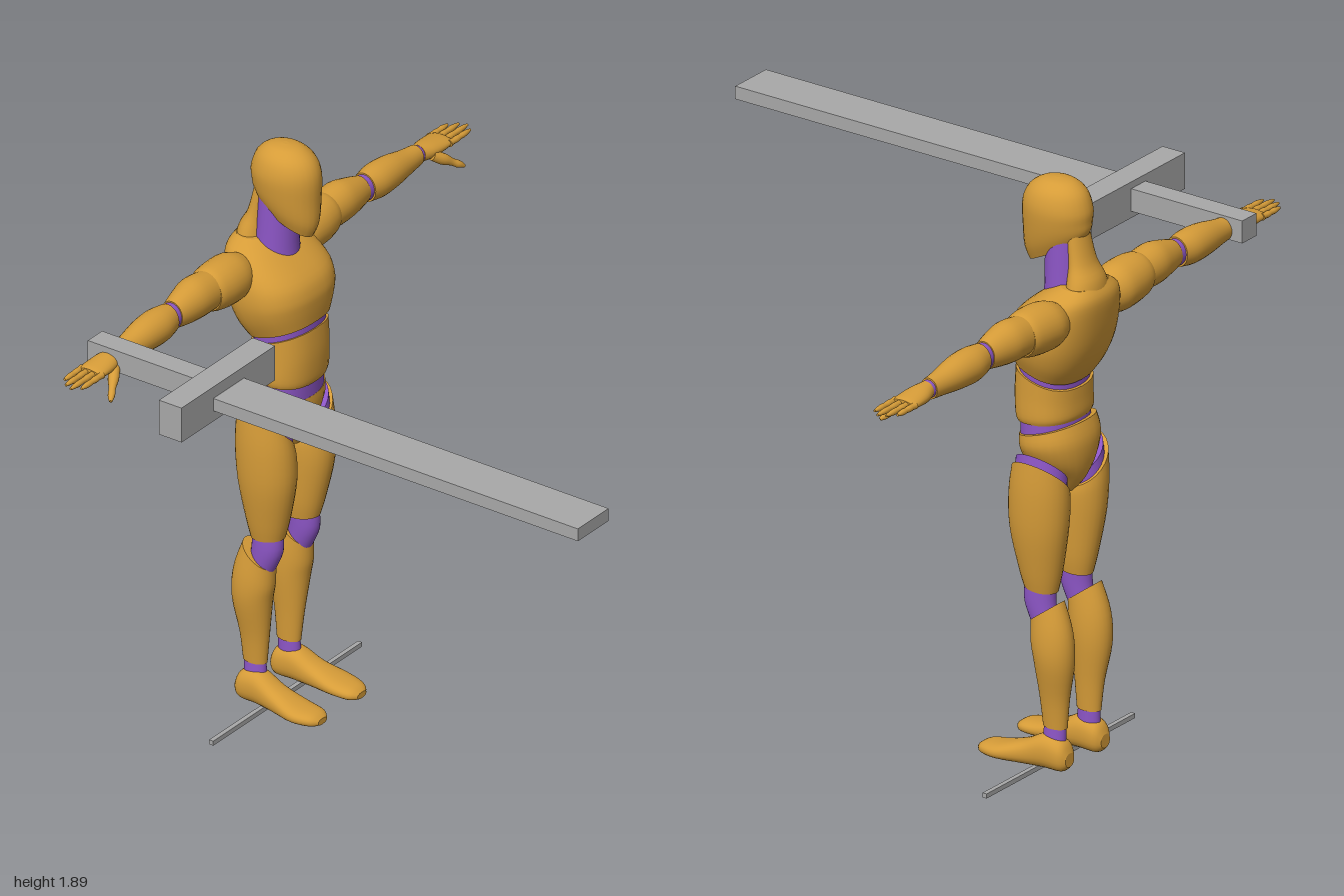
import * as THREE from 'three';

const gold = new THREE.MeshStandardMaterial({ color: 0xd69c38 });
const purple = new THREE.MeshStandardMaterial({ color: 0x8b55c4 });
const grey = new THREE.MeshStandardMaterial({ color: 0xa8a8a8 });
gold.name = 'ochre shell';
purple.name = 'purple joint';
grey.name = 'grey metal';

// Smooth value between ring k1 and k2 (Catmull-Rom)
function smooth(a, b, c, d, t) {
  return b + 0.5 * t * (c - a + t * (2 * a - 5 * b + 4 * c - d + t * (3 * (b - c) + d - a)));
}

// Each axis maps (along, p, q) to x, y, z
const AXES = {
  y: (u, p, q) => [p, u, q],
  x: (u, p, q) => [u, q, p],
  z: (u, p, q) => [q, p, u],
};

// Skin over rings [along, centreP, centreQ, radiusP, radiusQ, slopeQ, slopeP]; side -1 mirrors in x
function loft(rings, { axis = 'y', side = 1, power = 2, seg = 28, sub = 4 } = {}) {
  const rows = [];
  const get = (k, n) => rings[Math.min(Math.max(k, 0), rings.length - 1)][n] ?? 0;
  for (let k = 0; k < rings.length - 1; k++)
    for (let s = 0; s < sub; s++)
      rows.push([0, 1, 2, 3, 4, 5, 6].map((n) => smooth(get(k - 1, n), get(k, n), get(k + 1, n), get(k + 2, n), s / sub)));
  rows.push([0, 1, 2, 3, 4, 5, 6].map((n) => get(rings.length - 1, n)));

  const pos = [], idx = [];
  const put = (u, p, q) => {
    const v = AXES[axis](u, p, q);
    pos.push(v[0] * side, v[1], v[2]);
    return pos.length / 3 - 1;
  };
  const ring = ([u, cp, cq, rp, rq, sq, sp]) => {
    const start = pos.length / 3;
    for (let j = 0; j < seg; j++) {
      const a = (j / seg) * Math.PI * 2, c = Math.cos(a), s = Math.sin(a);
      const p = rp * Math.sign(c) * Math.abs(c) ** (2 / power);
      const q = rq * Math.sign(s) * Math.abs(s) ** (2 / power);
      put(u + sq * q + sp * p, cp + p, cq + q);
    }
    return start;
  };
  const tri = (a, b, c) => (side > 0 ? idx.push(a, b, c) : idx.push(a, c, b));
  const starts = rows.map(ring);
  for (let i = 0; i < starts.length - 1; i++)
    for (let j = 0; j < seg; j++) {
      const n = (j + 1) % seg, a = starts[i], b = starts[i + 1];
      tri(a + j, b + j, a + n);
      tri(a + n, b + j, b + n);
    }
  // Separate end caps keep their rims sharp
  [rows[0], rows[rows.length - 1]].forEach((r, top) => {
    const s = ring(r), c = put(r[0], r[1], r[2]);
    for (let j = 0; j < seg; j++) {
      const n = (j + 1) % seg;
      top ? tri(c, s + n, s + j) : tri(c, s + j, s + n);
    }
  });
  const g = new THREE.BufferGeometry();
  g.setAttribute('position', new THREE.Float32BufferAttribute(pos, 3));
  g.setIndex(idx);
  g.computeVertexNormals();
  return g;
}

export function createModel() {
  const model = new THREE.Group();
  model.name = 'jointedFigure';
  const add = (name, geometry, material) => {
    const m = new THREE.Mesh(geometry, material);
    m.name = name;
    model.add(m);
    return m;
  };
  const box = (name, x0, x1, y0, y1, z0, z1) =>
    add(name, new THREE.BoxGeometry(x1 - x0, y1 - y0, z1 - z0), grey)
      .position.set((x0 + x1) / 2, (y0 + y1) / 2, (z0 + z1) / 2);

  // Head and neck
  add('head', loft([
    [1.65, 0, -0.762, 0.052, 0.095, -0.52], [1.69, 0, -0.762, 0.07, 0.112, -0.4],
    [1.74, 0, -0.762, 0.082, 0.115, -0.2], [1.8, 0, -0.762, 0.087, 0.115, 0],
    [1.85, 0, -0.763, 0.073, 0.095], [1.88, 0, -0.765, 0.042, 0.055], [1.888, 0, -0.765, 0.008, 0.01],
  ]), gold);
  add('neck', loft([
    [1.48, 0, -0.8, 0.075, 0.075], [1.56, 0, -0.795, 0.068, 0.066], [1.72, 0, -0.79, 0.06, 0.062],
  ]), purple);
  add('napeGuard', loft([
    [1.5, 0, -0.87, 0.1, 0.055], [1.58, 0, -0.868, 0.075, 0.05],
    [1.64, 0, -0.853, 0.054, 0.035], [1.73, 0, -0.835, 0.046, 0.03],
  ]), gold);

  // Torso
  add('chest', loft([
    [1.285, 0, -0.75, 0.132, 0.102, 0.33], [1.34, 0, -0.765, 0.16, 0.122, 0.28],
    [1.4, 0, -0.78, 0.175, 0.135, 0.15], [1.47, 0, -0.8, 0.17, 0.131, 0],
    [1.535, 0, -0.84, 0.14, 0.094], [1.57, 0, -0.86, 0.085, 0.055],
  ], { power: 2.4, seg: 40 }), gold);
  add('ribJoint', loft([[1.23, 0, -0.75, 0.12, 0.095, 0.33], [1.32, 0, -0.75, 0.122, 0.094, 0.33]], { power: 2.2 }), purple);
  add('abdomen', loft([
    [1.118, 0, -0.75, 0.122, 0.097, -0.08], [1.14, 0, -0.75, 0.128, 0.103, -0.04],
    [1.2, 0, -0.748, 0.127, 0.104, 0.12], [1.262, 0, -0.75, 0.127, 0.101, 0.33],
  ], { power: 2.3 }), gold);
  add('waistJoint', loft([[1.03, 0, -0.757, 0.122, 0.094], [1.15, 0, -0.752, 0.117, 0.092]], { power: 2.2 }), purple);
  add('pelvis', loft([
    [0.88, 0, -0.765, 0.024, 0.05], [0.93, 0, -0.768, 0.055, 0.088], [0.99, 0, -0.77, 0.108, 0.105],
    [1.045, 0, -0.77, 0.135, 0.109, -0.15], [1.09, 0, -0.762, 0.132, 0.1, -0.3],
  ], { power: 2.2 }), gold);

  for (const [label, side] of [['left', 1], ['right', -1]]) {
    const part = (name, material, rings, opts = {}) => add(label + name, loft(rings, { side, ...opts }), material);
    const alongX = { axis: 'x' };

    // Leg
    part('HipJoint', purple, [[0.9, 0.095, -0.768, 0.068, 0.089, 0, 0.95], [0.975, 0.09, -0.768, 0.062, 0.084, 0, 0.95]]);
    part('Thigh', gold, [
      [0.585, 0.088, -0.765, 0.045, 0.056, 0.1, 0], [0.65, 0.09, -0.765, 0.058, 0.072],
      [0.78, 0.096, -0.763, 0.074, 0.096], [0.88, 0.098, -0.766, 0.078, 0.1, 0, 0.4],
      [0.945, 0.097, -0.77, 0.073, 0.094, 0, 0.95],
    ]);
    part('Knee', purple, [[0.46, 0.093, -0.79, 0.035, 0.042], [0.54, 0.092, -0.765, 0.04, 0.052], [0.61, 0.09, -0.765, 0.04, 0.05]]);
    part('Shin', gold, [
      [0.145, 0.085, -0.815, 0.027, 0.041], [0.24, 0.088, -0.815, 0.036, 0.05],
      [0.36, 0.095, -0.818, 0.054, 0.066], [0.44, 0.096, -0.81, 0.056, 0.068, -0.3],
      [0.52, 0.094, -0.793, 0.048, 0.052, -0.75],
    ]);
    part('Ankle', purple, [[0.09, 0.087, -0.813, 0.027, 0.039], [0.16, 0.085, -0.815, 0.023, 0.037]]);
    part('Foot', gold, [
      [-0.872, 0.05, 0.09, 0.022, 0.022], [-0.85, 0.06, 0.09, 0.049, 0.04], [-0.79, 0.066, 0.092, 0.055, 0.044],
      [-0.72, 0.048, 0.097, 0.039, 0.047], [-0.64, 0.035, 0.103, 0.026, 0.056],
      [-0.58, 0.03, 0.1, 0.02, 0.045], [-0.556, 0.026, 0.099, 0.01, 0.022],
    ], { axis: 'z', power: 2.3 });

    // Arm
    part('Shoulder', gold, [
      [0.12, -0.842, 1.48, 0.055, 0.06], [0.17, -0.842, 1.485, 0.073, 0.075],
      [0.23, -0.84, 1.488, 0.075, 0.077], [0.28, -0.84, 1.49, 0.069, 0.072], [0.303, -0.84, 1.49, 0.061, 0.064],
    ], alongX);
    part('UpperArm', gold, [
      [0.28, -0.84, 1.492, 0.058, 0.061], [0.36, -0.84, 1.497, 0.061, 0.066],
      [0.42, -0.838, 1.494, 0.052, 0.058], [0.475, -0.837, 1.49, 0.039, 0.045],
    ], alongX);
    part('Elbow', purple, [[0.45, -0.837, 1.489, 0.036, 0.042], [0.52, -0.837, 1.487, 0.038, 0.043]], alongX);
    part('Forearm', gold, [
      [0.495, -0.837, 1.487, 0.042, 0.048], [0.55, -0.838, 1.486, 0.053, 0.055], [0.62, -0.838, 1.485, 0.05, 0.052],
      [0.7, -0.838, 1.481, 0.038, 0.04], [0.755, -0.838, 1.48, 0.031, 0.034],
    ], alongX);
    part('Wrist', purple, [[0.74, -0.838, 1.48, 0.028, 0.03], [0.78, -0.838, 1.48, 0.026, 0.026]], alongX);
    part('Palm', gold, [
      [0.767, -0.838, 1.48, 0.028, 0.028], [0.81, -0.838, 1.478, 0.041, 0.027],
      [0.87, -0.839, 1.477, 0.044, 0.019], [0.89, -0.839, 1.477, 0.04, 0.013],
    ], alongX);

    // Fingers, each with three knuckle swellings
    [[-0.802, 0.98], [-0.827, 1.0], [-0.852, 0.99], [-0.875, 0.965]].forEach(([z, tip], n) => {
      const rings = [];
      for (let k = 0; k <= 6; k++) {
        const r = k === 6 ? 0.004 : 0.0115 - k * 0.0005 - (k % 2) * 0.0015;
        rings.push([0.875 + ((tip - 0.875) * k) / 6, z, 1.477, r, r]);
      }
      part('Finger' + (n + 1), gold, rings, { axis: 'x', seg: 12, sub: 2 });
    });

    // Thumb
    const from = new THREE.Vector3(0.8 * side, 1.468, -0.81), to = new THREE.Vector3(0.892 * side, 1.408, -0.758);
    const dir = to.clone().sub(from);
    const thumb = add(label + 'Thumb', loft([
      [0, 0, 0, 0.016, 0.016], [0.04, 0, 0, 0.019, 0.017], [0.075, 0, 0, 0.012, 0.011],
      [0.1, 0, 0, 0.012, 0.011], [dir.length(), 0, 0, 0.005, 0.005],
    ], { seg: 14 }), gold);
    thumb.position.copy(from);
    thumb.quaternion.setFromUnitVectors(new THREE.Vector3(0, 1, 0), dir.normalize());
  }

  // Sword and ground bar
  box('swordBlade', -0.84, -0.685, 1.466, 1.508, -0.42, 0.93);
  box('swordGuard', -1.0, -0.528, 1.43, 1.547, -0.5, -0.417);
  box('swordGrip', -0.8, -0.728, 1.452, 1.525, -0.91, -0.5);
  box('groundBar', -0.375, 0.375, 0, 0.015, -0.773, -0.758);
  return model;
}
